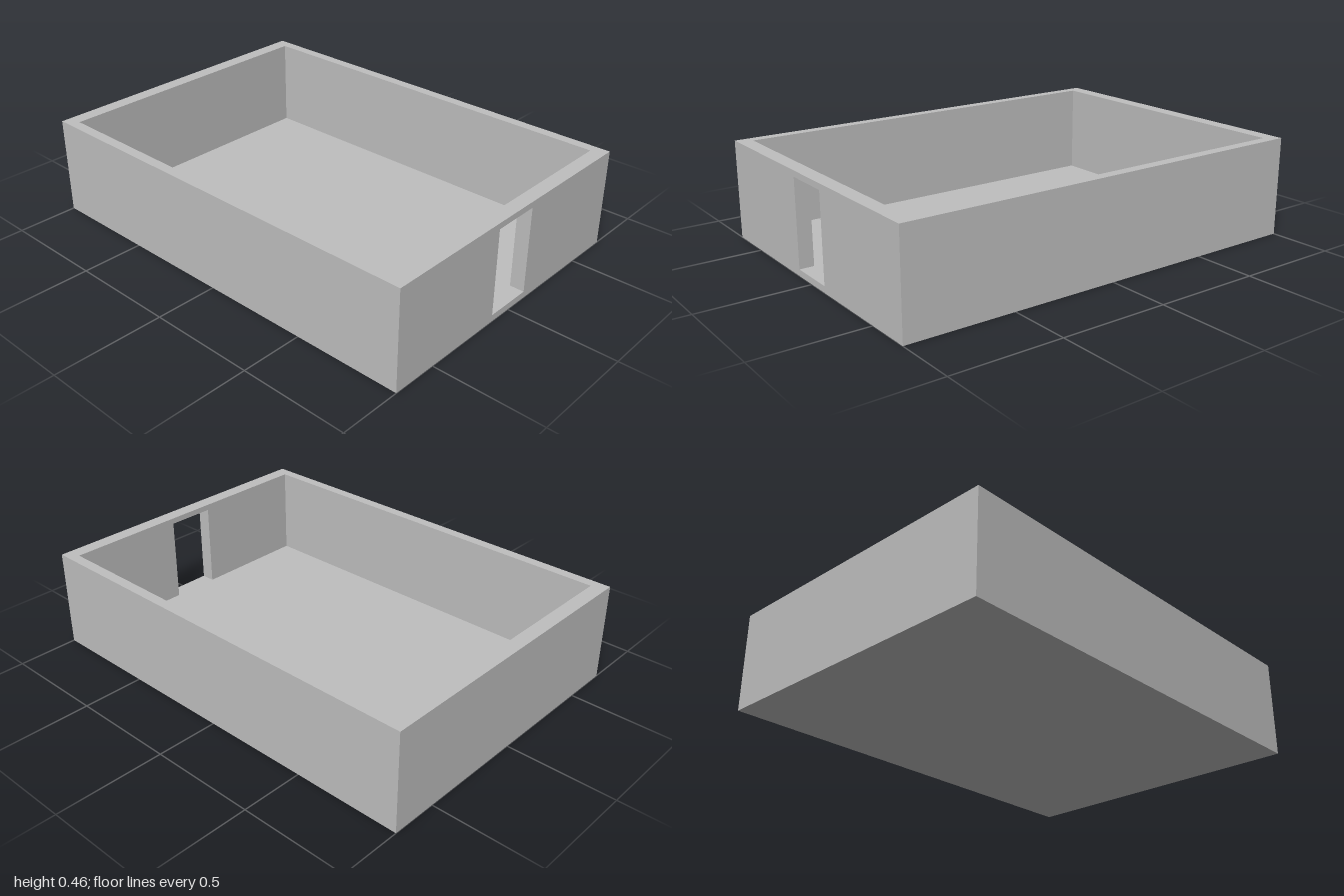
import * as THREE from 'three';

export function createModel() {
  const model = new THREE.Group();
  model.name = 'openTray';
  const grey = new THREE.MeshStandardMaterial({ name: 'light grey', color: 0xbfbfbf });

  const X = 1, Z = 0.714, H = 0.458;         // outer half sizes and height
  const wallX = 0.067, wallZ = 0.048;        // wall thicknesses
  const floorY = 0.03, doorTop = 0.43, doorHalf = 0.113;
  const innerX = X - wallX, innerZ = Z - wallZ;

  const add = (name, geometry, x, y, z) => {
    const mesh = new THREE.Mesh(geometry, grey);
    mesh.name = name;
    mesh.position.set(x, y, z);
    model.add(mesh);
    return mesh;
  };

  // Floor slab between the walls
  add('floor', new THREE.BoxGeometry(2 * innerX, floorY, 2 * innerZ), 0, floorY / 2, 0);

  // Long walls, front and back
  for (const [name, side] of [['frontWall', 1], ['backWall', -1]]) {
    add(name, new THREE.BoxGeometry(2 * X, H, wallZ), 0, H / 2, side * (Z - wallZ / 2));
  }

  // Closed short wall
  add('closedEndWall', new THREE.BoxGeometry(wallX, H, 2 * innerZ), -X + wallX / 2, H / 2, 0);

  // Short wall pierced by the rectangular opening
  const rectangle = (target, half, y0, y1) => target
    .moveTo(-half, y0).lineTo(half, y0).lineTo(half, y1).lineTo(-half, y1).closePath();
  const wall = rectangle(new THREE.Shape(), innerZ, 0, H);
  wall.holes.push(rectangle(new THREE.Path(), doorHalf, floorY, doorTop));
  const wallGeometry = new THREE.ExtrudeGeometry(wall, { depth: wallX, bevelEnabled: false });
  add('doorwayEndWall', wallGeometry, innerX, 0, 0).rotation.y = Math.PI / 2;

  return model;
}
